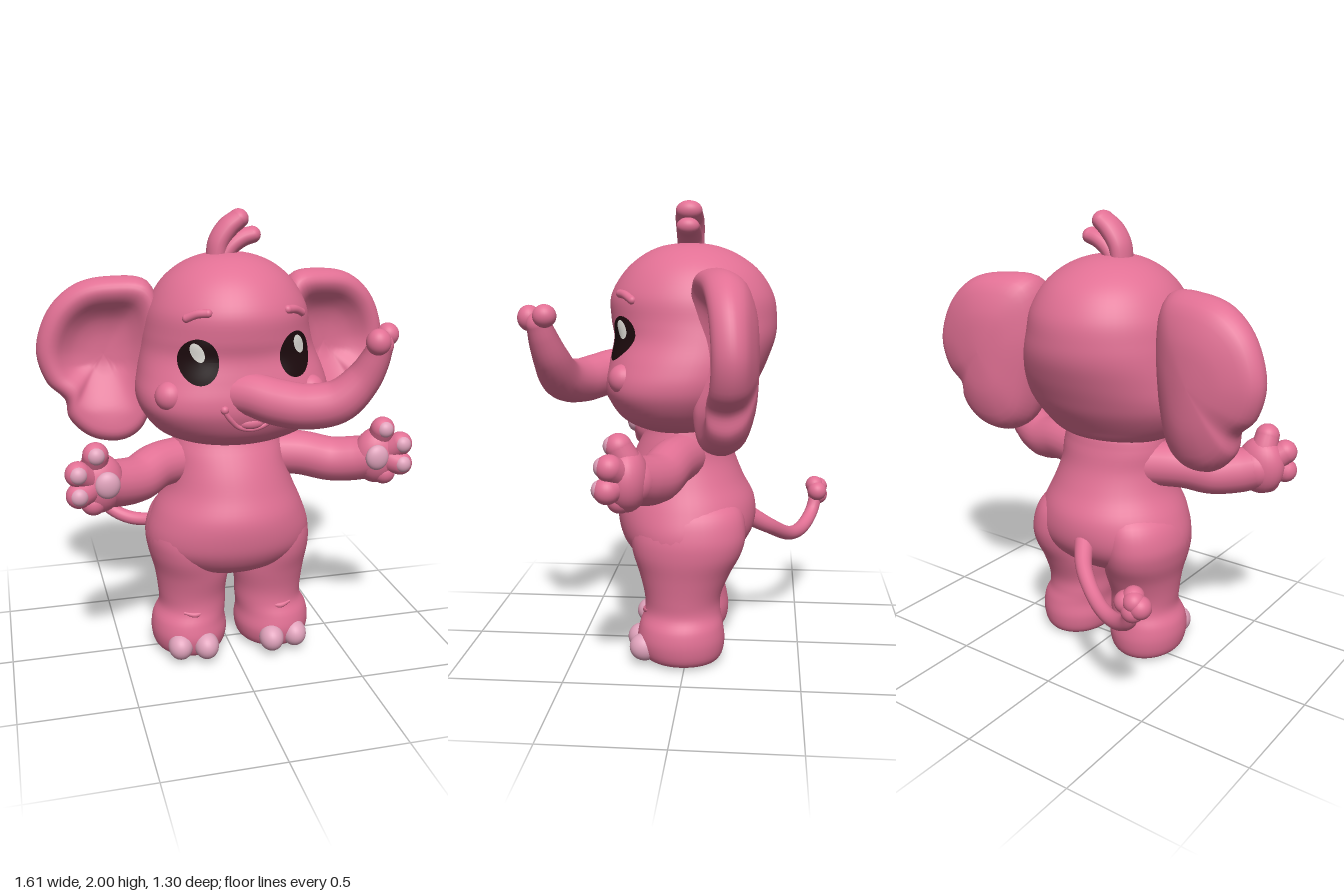
import * as THREE from 'three';

const V = (x, y, z) => new THREE.Vector3(x, y, z);
const mat = (name, color) => Object.assign(new THREE.MeshStandardMaterial({ color }), { name });

// Smooth interpolation through rows of numbers, t in row units
function rowAt(rows, t) {
  const n = rows.length - 1, i = Math.min(Math.floor(t), n - 1), f = t - i;
  const [a, b, c, d] = [i - 1, i, i + 1, i + 2].map(k => rows[Math.max(0, Math.min(n, k))]);
  return b.map((_, k) => 0.5 * (2 * b[k] + (c[k] - a[k]) * f + (2 * a[k] - 5 * b[k] + 4 * c[k] - d[k]) * f * f
    + (3 * b[k] - a[k] - 3 * c[k] + d[k]) * f * f * f));
}

// Skin a list of closed rings
function loft(rings) {
  const m = rings[0].length, index = [];
  for (let j = 0; j < rings.length - 1; j++) for (let i = 0; i < m; i++) {
    const a = j * m + i, b = j * m + (i + 1) % m;
    index.push(a, a + m, b, b, a + m, b + m);
  }
  const g = new THREE.BufferGeometry().setFromPoints(rings.flat());
  g.setIndex(index);
  g.computeVertexNormals();
  return g;
}

// Upright solid from rows of [y, centre x, half width, front z, back z, front squareness (1 is round)]
function stack(rows, seg = 48, steps = 5) {
  const rings = [];
  for (let j = 0; j <= (rows.length - 1) * steps; j++) {
    const [y, cx, a, zf, zb, p = 1] = rowAt(rows, j / steps), ring = [];
    for (let i = 0; i < seg; i++) {
      const th = i / seg * Math.PI * 2, e = th < Math.PI ? p : 1;
      const c = Math.cos(th), s = Math.sin(th);
      ring.push(V(cx + Math.max(a, 0) * Math.sign(c) * Math.abs(c) ** e, y,
        (zf + zb) / 2 + (zf - zb) / 2 * Math.sign(s) * Math.abs(s) ** e));
    }
    rings.push(ring);
  }
  return loft(rings);
}

// Tube through points [x, y, z, radius]
function taper(pts, seg = 40, sides = 20) {
  const curve = new THREE.CatmullRomCurve3(pts.map(p => V(p[0], p[1], p[2])));
  const g = new THREE.TubeGeometry(curve, seg, 1, sides), pos = g.attributes.position, v = V(0, 0, 0);
  for (let j = 0; j <= seg; j++) {
    const c = curve.getPointAt(j / seg);
    const r = rowAt(pts, curve.getUtoTmapping(j / seg) * (pts.length - 1))[3];
    for (let i = 0; i <= sides; i++) {
      const k = j * (sides + 1) + i;
      v.fromBufferAttribute(pos, k).sub(c).multiplyScalar(r).add(c);
      pos.setXYZ(k, v.x, v.y, v.z);
    }
  }
  return g;
}

const HEAD = [
  [1.008, .015, 0, .02, .02, 1], [1.016, .015, .17, .17, -.1, 1], [1.05, .015, .28, .26, -.18, .95],
  [1.1, .015, .352, .315, -.22, .88], [1.18, .015, .406, .355, -.275, .82], [1.25, .015, .42, .36, -.31, .82],
  [1.33, .015, .405, .345, -.345, .88], [1.42, .01, .38, .33, -.375, .97], [1.5, .005, .363, .343, -.38, 1],
  [1.6, .005, .342, .343, -.365, 1], [1.7, .005, .285, .285, -.305, 1], [1.77, .005, .205, .205, -.215, 1],
  [1.81, .005, .11, .115, -.115, 1], [1.825, .005, 0, 0, 0, 1]];

// Front of the head at x, y
function headZ(x, y) {
  let lo = 0, hi = HEAD.length - 1;
  for (let k = 0; k < 30; k++) {
    const mid = (lo + hi) / 2;
    if (rowAt(HEAD, mid)[0] < y) lo = mid; else hi = mid;
  }
  const [, cx, a, zf, zb, p] = rowAt(HEAD, lo);
  return (zf + zb) / 2 + (zf - zb) / 2 * Math.max(0, 1 - Math.abs((x - cx) / a) ** (2 / p)) ** (p / 2);
}

// Thin oval lying on the face
function facePatch(cx, cy, rx, ry, rot, lift, dome) {
  const g = new THREE.RingGeometry(0, 1, 36, 6), p = g.attributes.position;
  for (let i = 0; i < p.count; i++) {
    const u = p.getX(i), w = p.getY(i), c = Math.cos(rot), s = Math.sin(rot);
    const x = cx + u * rx * c - w * ry * s, y = cy + u * rx * s + w * ry * c;
    p.setXYZ(i, x, y, headZ(x, y) + lift + dome * (1 - u * u - w * w));
  }
  g.computeVertexNormals();
  return g;
}

// Cupped ear, from the hollow out over the rim to the rounded back, thinner towards the outside
function earGeometry(side, dz) {
  const outline = [[.33, 1.70], [.487, 1.72], [.63, 1.688], [.745, 1.585], [.806, 1.41], [.77, 1.265], [.695, 1.185],
    [.68, 1.1], [.59, 1.015], [.46, 1.0], [.37, 1.06], [.31, 1.25], [.28, 1.5]];
  const pts = new THREE.CatmullRomCurve3(outline.map(([x, y]) => V(x, y, 0)), true).getPoints(72).slice(0, -1);
  if (side > 0) pts.reverse();
  const profile = [[0, -.115], [.25, -.11], [.45, -.09], [.6, -.055], [.73, -.015], [.85, 0], [.95, -.02], [1, -.07],
    [.98, -.125], [.85, -.185], [.55, -.225], [.25, -.237], [0, -.24]];
  const rings = [];
  for (let j = 0; j <= (profile.length - 1) * 3; j++) {
    const [s, z] = rowAt(profile, j / 3);
    rings.push(pts.map(p => {
      const x = .52 + (p.x - .52) * s, y = 1.38 + (p.y - 1.38) * s;
      const hollow = j < 15 ? THREE.MathUtils.clamp((y - 1.08) / .25, .25, 1) : 1;
      const thin = 1 - .28 * THREE.MathUtils.smoothstep(x, .45, .82);
      return V(side * x, y, z * hollow * thin - .03 - .25 * (x - .33) + dz);
    }));
  }
  return loft(rings);
}

export function createModel() {
  const model = new THREE.Group();
  model.name = 'elephant';
  const skin = mat('pink skin', 0xe17094), nail = mat('pale pink nails', 0xdfa2bb);
  const dark = mat('dark eyes', 0x1c0a0d), shine = mat('eye shine', 0xe4e2dc);
  const group = name => {
    const g = new THREE.Group();
    g.name = name;
    model.add(g);
    return g;
  };
  const add = (name, geo, m = skin, parent = model) => {
    const mesh = new THREE.Mesh(geo, m);
    mesh.name = name;
    parent.add(mesh);
  };
  const ball = (name, x, y, z, r, m = skin, parent = model) => {
    const [rx, ry, rz] = Array.isArray(r) ? r : [r, r, r];
    add(name, new THREE.SphereGeometry(1, 28, 20).scale(rx, ry, rz).translate(x, y, z), m, parent);
  };
  // Tapered limb with rounded far end
  const limb = (name, pts, parent = model) => {
    add(name, taper(pts), skin, parent);
    const [x, y, z, r] = pts[pts.length - 1];
    ball(name + 'End', x, y, z, r, skin, parent);
  };

  add('head', stack(HEAD, 64));
  add('body', stack([
    [.39, .005, 0, .03, .0], [.405, .005, .14, .15, -.1], [.45, .005, .28, .24, -.19], [.52, .005, .362, .295, -.262],
    [.6, .005, .372, .32, -.295], [.7, .005, .338, .323, -.29], [.8, .01, .288, .287, -.24],
    [.9, .005, .258, .25, -.2], [1, 0, .245, .2, -.18], [1.08, 0, .2, .15, -.15], [1.1, 0, 0, 0, 0]]));

  // Legs blending up into the hips, ankle folds and toenails
  for (const [side, cx] of [[-1, -.185], [1, .213]]) {
    const leg = group(side > 0 ? 'leftLeg' : 'rightLeg'), hip = .005 + side * .2, shin = cx - side * .017;
    add('leg', stack([
      [0, cx, 0, .02, .02], [.003, cx, .1, .13, -.11], [.03, cx, .155, .19, -.155], [.1, cx, .174, .215, -.17],
      [.17, cx, .166, .205, -.162], [.23, shin, .154, .185, -.15], [.3, shin, .156, .185, -.152],
      [.4, shin, .17, .208, -.192], [.5, (cx + hip) / 2, .174, .235, -.242], [.59, hip, .174, .24, -.258],
      [.69, hip - side * .02, .155, .22, -.235], [.76, hip - side * .06, .1, .15, -.15], [.78, hip - side * .06, 0, 0, 0]], 40), skin, leg);
    add('ankleFold', taper([[cx - .05, .235, .166, .006], [cx, .226, .18, .013], [cx + .05, .235, .166, .006]], 12, 8), skin, leg);
    for (const [k, z] of [[-.045, .2], [.07, .178]])
      ball('toenail', cx + side * k, .078, z, [.056, .061, .066], nail, leg);
  }

  // Arms and hands
  for (const [side, dx, dz] of [[1, 0, .015], [-1, .045, .085]]) {
    const arm = group(side > 0 ? 'leftArm' : 'rightArm');
    const X = x => side * (x - dx), Z = z => z + dz;
    limb('foreArm', [[side * .16, .92, 0, .1], [side * .33, .918, .045 + dz * .4, .1],
      [X(.47), .89, .08 + dz * .8, .1], [X(.57), .9, Z(.125), .1], [X(.63), .915, Z(.16), .095]], arm);
    ball('palm', X(.65), .925, Z(.175), [.108, .128, .085], skin, arm);
    for (const [x, y, z, padded] of [[.66, 1.055, .205, 1], [.736, .988, .23, 1], [.736, .9, .24, 1], [.675, .85, .2, 0]]) {
      limb('finger', [[X(.66), .93, Z(.16), .06], [X((x + .66) / 2), (y + .93) / 2, Z(z - .03), .06], [X(x), y, Z(z), .053]], arm);
      if (padded) ball('fingerPad', X(x), y + .003, Z(z + .027), [.037, .038, .033], nail, arm);
    }
    ball('palmPad', X(.62), .938, Z(.252), [.052, .057, .032], nail, arm);
  }

  // Ears
  add('leftEar', earGeometry(1, 0));
  add('rightEar', earGeometry(-1, .055));

  // Eyes, brows and cheeks
  for (const [side, x, y] of [[-1, -.185, 1.415], [1, .228, 1.428]]) {
    add('eye', facePatch(x, y, .078, .093, 0, .004, .008), dark);
    add('eyeShine', facePatch(x + (side > 0 ? .016 : -.006), y + .038, .024, .042, .45, .012, .003), shine);
    const brow = [[.038, .012], [0, .007], [-.04, -.012]].map(([u, w]) => {
      const bx = x - side * u, by = 1.6 + w;
      return [bx, by, headZ(bx, by) - .003, .018];
    });
    limb('brow', brow);
    ball('browInnerEnd', ...brow[0]);
    ball('cheek', side * .298 + .005, 1.265, headZ(side * .298, 1.265) - .045, .064);
  }

  // Trunk with two-lobed tip
  limb('trunk', [[-.07, 1.275, .24, .08], [.03, 1.275, .325, .09], [.12, 1.255, .395, .095], [.22, 1.247, .455, .093],
    [.34, 1.275, .502, .088], [.43, 1.365, .525, .073], [.468, 1.445, .545, .06], [.485, 1.505, .558, .05]]);
  ball('trunkTipFront', .455, 1.527, .603, [.049, .052, .047]);
  ball('trunkTipBack', .525, 1.54, .525, [.044, .046, .047]);

  // Smile and tongue
  const smile = [[-.095, 1.222], [-.07, 1.185], [-.03, 1.145], [.025, 1.13], [.08, 1.145], [.12, 1.18]]
    .map(([x, y]) => [x, y, headZ(x, y) - .003, .011]);
  limb('lowerLip', smile);
  ball('lipCorner', -.092, 1.224, headZ(-.092, 1.224) - .006, .018);
  ball('tongue', .025, 1.157, headZ(.025, 1.157) - .014, [.055, .026, .022]);

  // Hair tuft, broader across than thick
  const tuft = group('hairTuft');
  tuft.scale.z = 1.35;
  limb('tallTuft', [[-.045, 1.78, 0, .042], [-.032, 1.86, 0, .045], [.008, 1.92, 0, .046], [.055, 1.957, 0, .042]], tuft);
  limb('shortTuft', [[-.02, 1.79, 0, .04], [.02, 1.845, 0, .04], [.07, 1.878, 0, .039], [.115, 1.89, 0, .036]], tuft);

  // Tail with lobed tuft
  limb('tail', [[-.02, .61, -.25, .045], [-.1, .53, -.36, .036], [-.25, .45, -.46, .033], [-.38, .445, -.525, .033],
    [-.48, .5, -.575, .032], [-.52, .59, -.6, .032]]);
  for (const [x, y, z, r] of [[-.553, .595, -.6, .047], [-.487, .6, -.6, .047], [-.515, .625, -.588, .044],
    [-.522, .575, -.605, .048], [-.53, .615, -.608, .044]])
    ball('tailTuft', x, y, z, r);

  return model;
}
